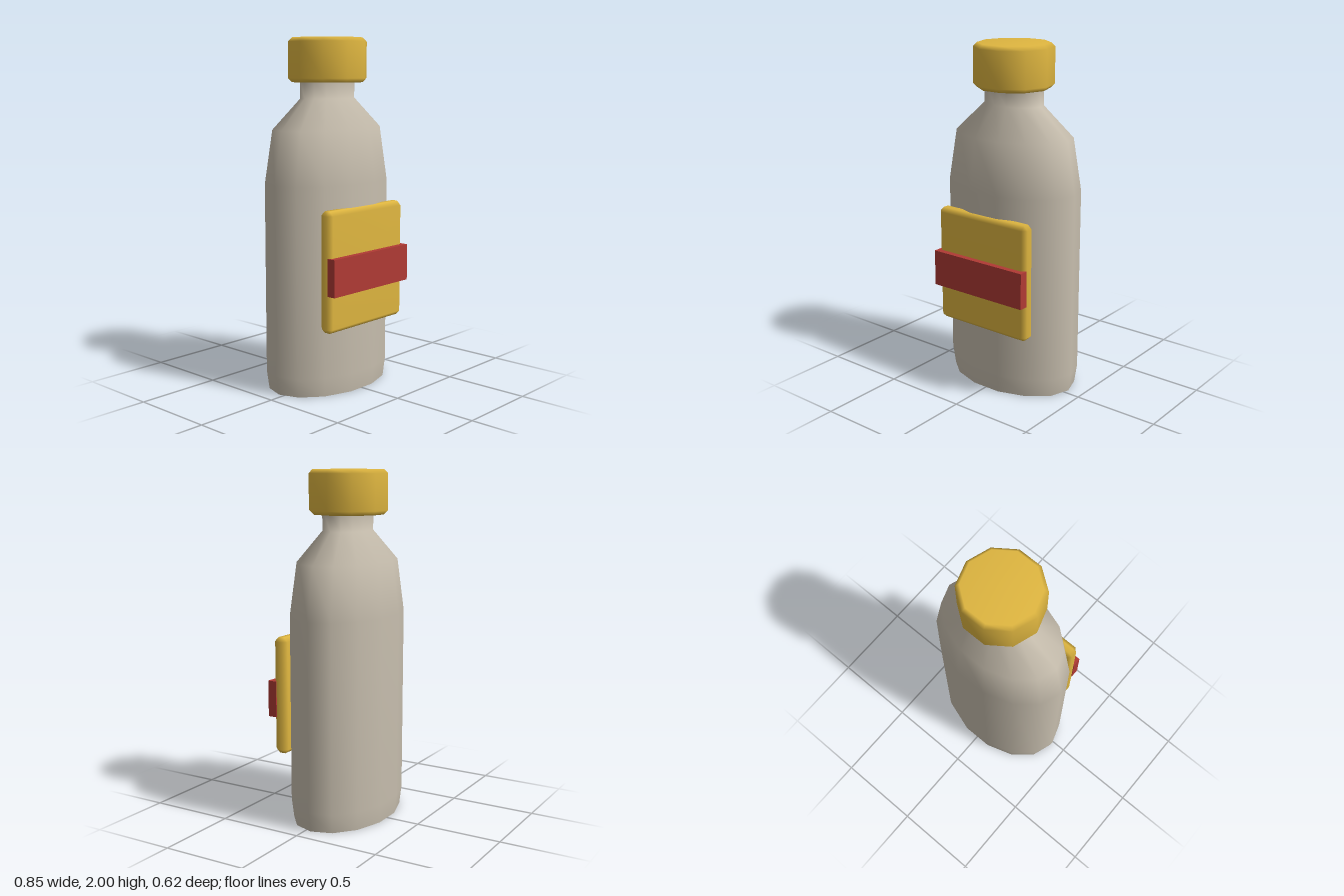
import * as THREE from 'three';
import { mergeVertices } from 'three/addons/utils/BufferGeometryUtils.js';
import { ConvexGeometry } from 'three/addons/geometries/ConvexGeometry.js';

const AXIS_Z = -0.033; // the bottle's axis sits slightly behind centre
const OVAL = 0.67;     // depth of the oval body relative to its width

function material(name, color) {
  const m = new THREE.MeshStandardMaterial({ color });
  m.name = name;
  return m;
}

// Lathe from [radius, height] pairs, with a corner on the x axis
function lathe(profile, sides) {
  const points = profile.map(([r, y]) => new THREE.Vector2(r, y));
  return new THREE.LatheGeometry(points, sides, Math.PI / 2);
}

// Box with every edge chamfered once and smooth normals across it
function chamferedBox(w, h, d, c) {
  const points = [];
  for (const x of [-w / 2, w / 2]) for (const y of [-h / 2, h / 2]) for (const z of [-d / 2, d / 2]) {
    const [sx, sy, sz] = [x, y, z].map((v) => Math.sign(v) * c);
    points.push(
      new THREE.Vector3(x, y - sy, z - sz),
      new THREE.Vector3(x - sx, y, z - sz),
      new THREE.Vector3(x - sx, y - sy, z),
    );
  }
  let geometry = new ConvexGeometry(points);
  geometry.deleteAttribute('normal');
  geometry = mergeVertices(geometry, 1e-4);
  geometry.computeVertexNormals();
  return geometry;
}

export function createModel() {
  const group = new THREE.Group();
  group.name = 'bottle';
  const glass = material('warm grey', 0xc6bdad);
  const yellow = material('golden yellow', 0xdfb640);
  const red = material('brick red', 0xb03a34);

  const add = (name, geometry, mat, x, y, z) => {
    const mesh = new THREE.Mesh(geometry, mat);
    mesh.name = name;
    mesh.position.set(x, y, z);
    group.add(mesh);
  };

  // Oval body with sloping shoulders and neck
  const body = lathe([
    [0.408, 0], [0.425, 0.11], [0.425, 1.19], [0.373, 1.49], [0.187, 1.66], [0.187, 1.76],
  ], 14);
  body.scale(1, 1, OVAL);
  add('body', body, glass, 0, 0, AXIS_Z);

  // Flat base with a sharp rim
  const base = new THREE.CircleGeometry(0.408, 14);
  base.rotateX(Math.PI / 2);
  base.scale(1, 1, OVAL);
  add('base', base, glass, 0, 0, AXIS_Z);

  // Ten-sided cap with chamfered rims
  const cap = lathe([
    [0, 1.75], [0.205, 1.75], [0.228, 1.773], [0.228, 1.977], [0.205, 2], [0, 2],
  ], 10);
  add('cap', cap, yellow, 0, 0, AXIS_Z);

  // Label plate and the band across it
  add('label', chamferedBox(0.63, 0.68, 0.085, 0.025), yellow, 0, 0.725, 0.2325);
  add('labelBand', new THREE.BoxGeometry(0.63, 0.21, 0.053), red, 0, 0.705, 0.2825);

  return group;
}
